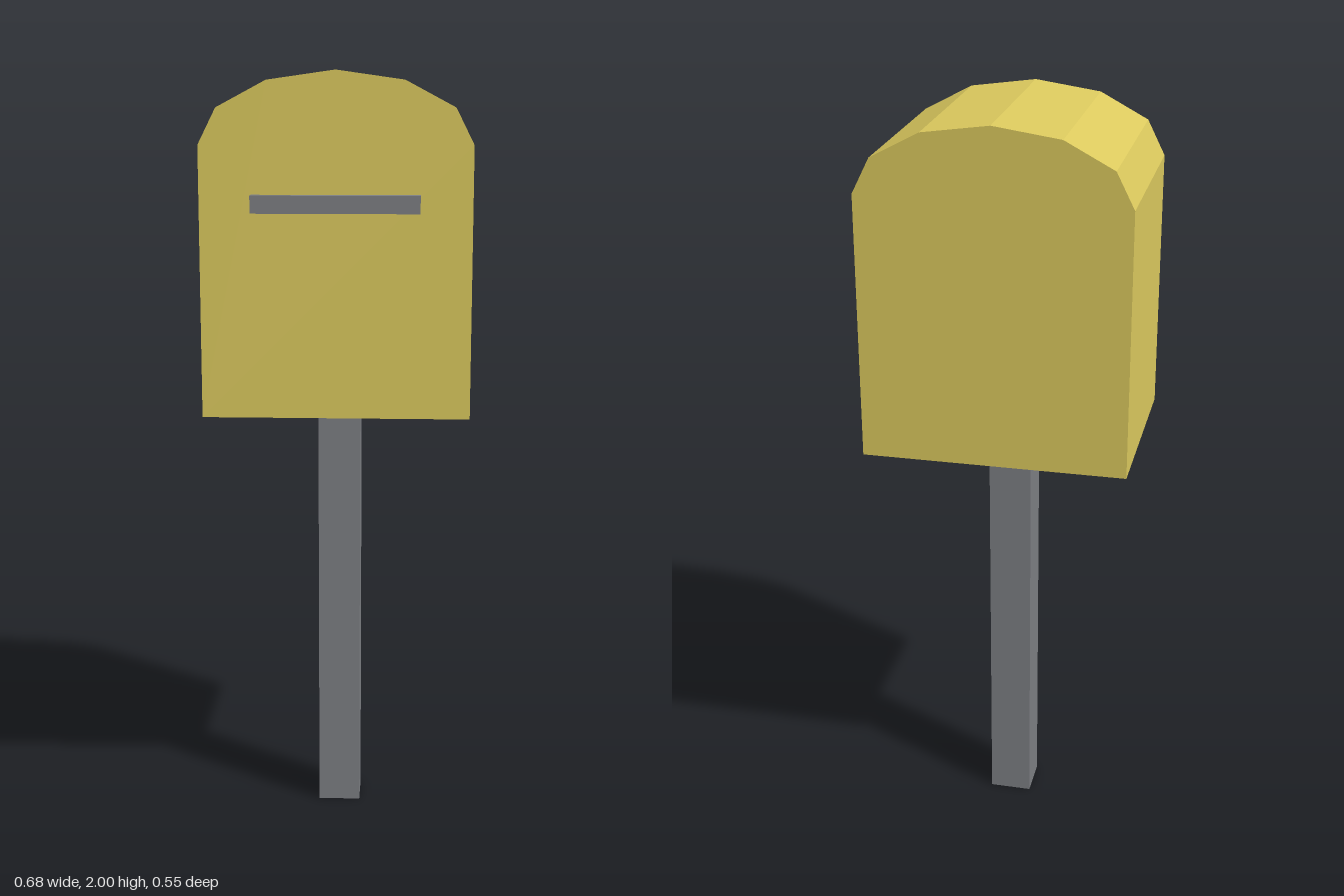
import * as THREE from 'three';

export function createModel() {
  const yellow = new THREE.MeshStandardMaterial({ color: 0xdcca5e });
  yellow.name = 'yellow paint';
  const grey = new THREE.MeshStandardMaterial({ color: 0x7d7f83 });
  grey.name = 'grey metal';
  yellow.flatShading = grey.flatShading = true;

  const model = new THREE.Group();
  model.name = 'mailbox';
  const add = (name, geometry, material, x, y, z) => {
    const mesh = new THREE.Mesh(geometry, material);
    mesh.name = name;
    mesh.position.set(x, y, z);
    model.add(mesh);
  };

  // Box with a six-sided arched roof, extruded from back to front
  const halfWidth = 0.34, bottom = 1.137, eaves = 1.82, rise = 0.18;
  const back = -0.276, front = 0.242;
  const outline = [new THREE.Vector2(-halfWidth, bottom), new THREE.Vector2(halfWidth, bottom)];
  for (let i = 0; i <= 6; i++) {
    const a = (i / 6) * Math.PI;
    outline.push(new THREE.Vector2(halfWidth * Math.cos(a), eaves + rise * Math.sin(a)));
  }
  const body = new THREE.ExtrudeGeometry(new THREE.Shape(outline), { depth: front - back, bevelEnabled: false });
  add('box', body, yellow, 0, 0, back);

  // Square post under the middle of the box
  add('post', new THREE.BoxGeometry(0.112, bottom, 0.112), grey, 0, bottom / 2, (front + back) / 2);

  // Letter slot bar on the front
  add('letterSlot', new THREE.BoxGeometry(0.42, 0.044, 0.034), grey, 0, 1.677, front + 0.017);

  return model;
}
